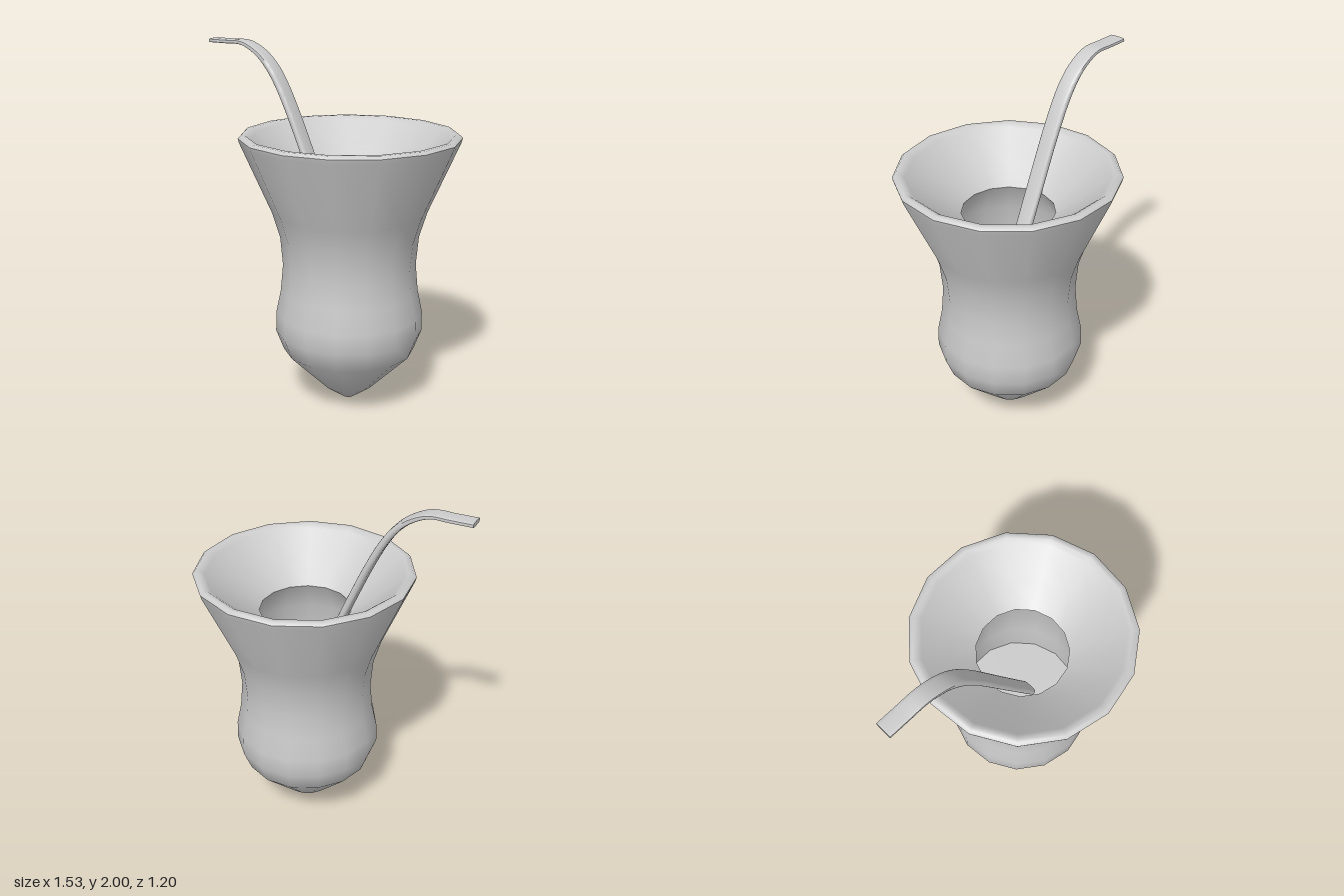
import * as THREE from 'three';
import { toCreasedNormals } from 'three/addons/utils/BufferGeometryUtils.js';
import { ParametricGeometry } from 'three/addons/geometries/ParametricGeometry.js';

export function createModel() {
  const group = new THREE.Group();
  const material = new THREE.MeshStandardMaterial({ color: 0xcccccc, side: THREE.DoubleSide });

  function add(name, geometry, crease) {
    const mesh = new THREE.Mesh(toCreasedNormals(geometry, crease), material);
    mesh.name = name;
    group.add(mesh);
    return mesh;
  }

  // Gourd cup: fifteen-sided lathe, up the outside, over the rim, down the inside
  const profile = [
    [0, 0], [0.035, 0], [0.14, 0.075], [0.37, 0.305], [0.414, 0.42], [0.412, 0.53],
    [0.385, 0.66], [0.371, 0.81], [0.385, 0.97], [0.428, 1.11], [0.598, 1.5],
    [0.605, 1.525], [0.59, 1.54], [0.565, 1.54], [0.54, 1.52],
    // funnel mouth narrowing to the throat
    [0.4, 1.4], [0.255, 1.29],
    // hollow chamber and floor
    [0.35, 1.11], [0.33, 0.85], [0.34, 0.62], [0, 0.62],
  ].map(([r, y]) => new THREE.Vector2(r, y));
  const cup = add('gourdCup', new THREE.LatheGeometry(profile, 15), 0.9);
  cup.position.set(0.164, 0, -0.008);

  // Flattened drinking straw swept along a bent path
  const path = new THREE.CatmullRomCurve3([
    [-0.767, 1.987], [-0.65, 1.987], [-0.53, 1.985], [-0.42, 1.932], [-0.345, 1.86],
    [-0.28, 1.765], [-0.215, 1.64], [-0.168, 1.54], [0.02, 1.11], [0.21, 0.68],
  ].map(([x, y]) => new THREE.Vector3(x, y, 0)), false, 'centripetal');
  const rings = 40;
  const power = (v) => Math.sign(v) * Math.sqrt(Math.abs(v));

  const straw = add('drinkingStraw', new ParametricGeometry((u, v, target) => {
    const station = u * (rings + 2) - 1;
    const t = THREE.MathUtils.clamp(station / rings, 0, 1);
    const closed = station < -0.5 || station > rings + 0.5; // end caps collapse to a point
    const point = path.getPoint(t);
    const tangent = path.getTangent(t);
    const angle = v * Math.PI * 2;
    const half = 0.012 + 0.008 * THREE.MathUtils.smoothstep(t, 0.15, 0.5);
    const thick = closed ? 0 : half * power(Math.sin(angle));
    const wide = closed ? 0 : 0.048 * power(Math.cos(angle));
    target.set(point.x - tangent.y * thick, point.y + tangent.x * thick, wide);
  }, rings + 2, 16), 0.8);
  straw.position.z = 0.012;

  return group;
}
